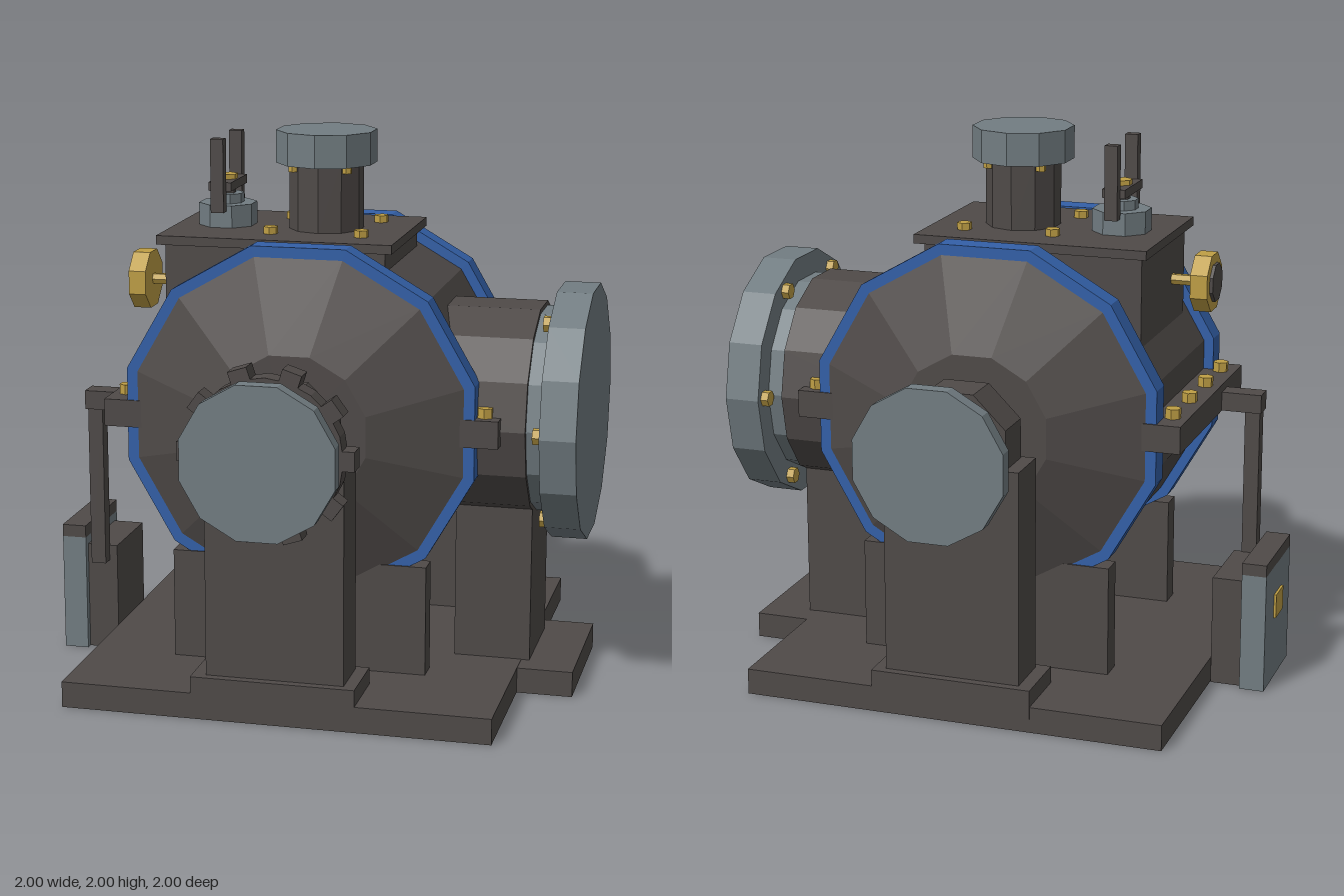
import * as THREE from 'three';

const mat = (name, color) => {
  const m = new THREE.MeshStandardMaterial({ color, flatShading: true, side: THREE.DoubleSide });
  m.name = name;
  return m;
};

export function createModel() {
  const model = new THREE.Group();
  const iron = mat('dark iron', 0x4f4a48);
  const steel = mat('grey steel', 0x727d82);
  const blue = mat('blue paint', 0x3360a8);
  const brass = mat('brass', 0xbf9f45);

  const add = (name, geo, material, x = 0, y = 0, z = 0) => {
    const mesh = new THREE.Mesh(geo, material);
    mesh.name = name;
    mesh.position.set(x, y, z);
    model.add(mesh);
    return mesh;
  };

  // Box given by its limits; an open box has no underside
  const box = (name, material, [x0, x1], [y0, y1], [z0, z1], open = false) => {
    const geo = new THREE.BoxGeometry(x1 - x0, y1 - y0, z1 - z0);
    if (open) {
      const i = Array.from(geo.index.array);
      i.splice(18, 6);
      geo.setIndex(i);
      geo.clearGroups();
    }
    return add(name, geo, material, (x0 + x1) / 2, (y0 + y1) / 2, (z0 + z1) / 2);
  };

  // Prism along an axis from a to b; turn = 0.5 puts a flat where a corner was
  const prism = (name, material, axis, r, sides, a, b, [u, v], turn = 0, r2 = r) => {
    const geo = new THREE.CylinderGeometry(r2, r, b - a, sides, 1, false, (turn * Math.PI * 2) / sides);
    const m = (a + b) / 2;
    if (axis === 'x') return add(name, geo.rotateZ(-Math.PI / 2), material, m, u, v);
    if (axis === 'z') return add(name, geo.rotateX(Math.PI / 2), material, u, v, m);
    return add(name, geo, material, u, m, v);
  };

  // Hollow base and the foot under the side pipe
  box('base', iron, [-0.78, 0.78], [0, 0.095], [-0.81, 0.81], true);
  box('sideFoot', iron, [0.48, 0.983], [0, 0.094], [-0.28, 0.28], true);
  box('sidePost', iron, [0.53, 0.81], [0.09, 0.8], [-0.185, 0.185]);

  // Twelve-sided casing with end cones
  prism('casing', iron, 'z', 0.622, 12, -0.4, 0.4, [0, 1], 0.5);
  prism('frontCone', iron, 'z', 0.632, 12, 0.425, 0.56, [0, 1], 0.5, 0.285);
  prism('backCone', iron, 'z', 0.285, 12, -0.56, -0.425, [0, 1], 0.5, 0.632);

  for (const s of [-1, 1]) {
    const end = s > 0 ? 'front' : 'back';
    const span = (a, b) => (s > 0 ? [a, b] : [-b, -a]);

    // Painted rim and the saddle below it
    prism(end + 'Rim', blue, 'z', 0.66, 12, ...span(0.34, 0.43), [0, 1], 0.5);
    box(end + 'Saddle', iron, [-0.47, 0.47], [0.09, 0.5], span(0.35, 0.436));

    // Bearing pedestal
    box(end + 'PedestalFoot', iron, [-0.3, 0.295], [0.05, 0.157], span(0.57, 0.812));
    box(end + 'Pedestal', iron, [-0.25, 0.25], [0.15, 0.94], span(0.595, 0.78));
    prism(end + 'Bearing', iron, 'z', 0.216, 8, ...span(0.61, 0.77), [0, 1], 0.5);

    // End disc with four bolts
    prism(end + 'Disc', steel, 'z', 0.281, 12, ...span(0.943, 1), [0, 1], 0.5);
    for (const i of [-1, 1]) for (const j of [-1, 1])
      prism(end + 'DiscBolt', brass, 'z', 0.034, 6, ...span(0.908, 0.945), [i * 0.145, 1 + j * 0.143]);
  }

  // Toothed coupling in front, plain collar behind
  prism('gear', iron, 'z', 0.275, 20, 0.815, 0.89, [0, 1]);
  for (let i = 0; i < 10; i++) {
    const a = (i * Math.PI) / 5;
    const tooth = add('gearTooth', new THREE.BoxGeometry(0.07, 0.07, 0.075), iron,
      Math.cos(a) * 0.278, 1 + Math.sin(a) * 0.278, 0.8525);
    tooth.rotation.z = a;
  }
  prism('backCollar', steel, 'z', 0.212, 12, -0.88, -0.812, [0, 1], 0.5);

  // Split-line flange with bolts
  box('splitFlange', iron, [-0.725, 0.722], [0.952, 1.052], [-0.435, 0.435]);
  for (const z of [-0.33, -0.11, 0.11, 0.33])
    prism('splitBolt', brass, 'y', 0.029, 6, 1.05, 1.088, [-0.67, z]);
  for (const z of [-0.38, 0.38])
    prism('splitBolt', brass, 'y', 0.029, 6, 1.05, 1.088, [0.667, z]);

  // Side pipe, collar, large flange and its bolts
  prism('sidePipe', iron, 'x', 0.392, 14, 0.3, 0.81, [1.005, 0]);
  prism('sideCollar', steel, 'x', 0.375, 14, 0.8, 0.88, [1.005, 0]);
  prism('sideFlange', steel, 'x', 0.467, 14, 0.87, 1, [1.003, 0]);
  for (let i = 0; i < 6; i++) {
    const a = (i * Math.PI) / 3;
    prism('sideFlangeBolt', brass, 'x', 0.03, 6, 0.842, 0.875,
      [1.003 + Math.sin(a) * 0.415, Math.cos(a) * 0.415]);
  }

  // Hatch on top of the casing
  box('hatchBox', iron, [-0.533, 0.28], [1.2, 1.61], [-0.28, 0.28]);
  box('hatchLid', iron, [-0.558, 0.31], [1.605, 1.638], [-0.312, 0.312]);
  prism('topPipe', iron, 'y', 0.137, 10, 1.63, 1.89, [0, 0]);
  prism('topCap', steel, 'y', 0.185, 10, 1.88, 2, [0, 0]);
  for (const i of [-1, 1]) for (const j of [-1, 1]) {
    prism('lidBolt', brass, 'y', 0.027, 6, 1.635, 1.664, [i * 0.168, j * 0.168]);
    prism('capBolt', brass, 'y', 0.018, 6, 1.855, 1.882, [i * 0.1, j * 0.1]);
  }

  // Small valve with yoke and two uprights
  prism('valveBase', steel, 'y', 0.108, 8, 1.635, 1.72, [-0.375, 0], 0.5);
  prism('valveNeck', steel, 'y', 0.06, 8, 1.715, 1.755, [-0.375, 0], 0.5);
  prism('valveStem', iron, 'y', 0.03, 6, 1.75, 1.79, [-0.375, 0]);
  box('valveYoke', iron, [-0.418, -0.333], [1.775, 1.807], [-0.11, 0.11]);
  prism('valveNut', brass, 'y', 0.038, 6, 1.8, 1.825, [-0.375, 0]);
  for (const s of [-1, 1])
    box('valveUpright', iron, [-0.4, -0.352], [1.7, 1.97], [s * 0.125 - 0.02, s * 0.125 + 0.02]);

  // Handwheel on the hatch side
  prism('wheelStem', brass, 'x', 0.021, 6, -0.64, -0.53, [1.443, 0.122]);
  prism('handwheel', brass, 'x', 0.112, 8, -0.692, -0.628, [1.443, 0.122], 0.5);
  prism('wheelHub', iron, 'x', 0.073, 8, -0.704, -0.69, [1.443, 0.122], 0.5);

  // Control box, its label and the linkage to the flange
  box('controlCase', steel, [-0.988, -0.897], [0, 0.442], [-0.185, 0.185], true);
  box('controlCap', iron, [-0.988, -0.897], [0.44, 0.486], [-0.185, 0.185]);
  box('controlBack', iron, [-0.9, -0.782], [0, 0.408], [-0.158, 0.158], true);
  box('controlLabel', brass, [-0.997, -0.988], [0.24, 0.33], [-0.055, 0.055]);
  box('linkRod', iron, [-0.868, -0.812], [0.35, 0.96], [0.15, 0.205]);
  box('linkArm', iron, [-0.874, -0.72], [0.954, 1.024], [0.14, 0.22]);

  return model;
}
